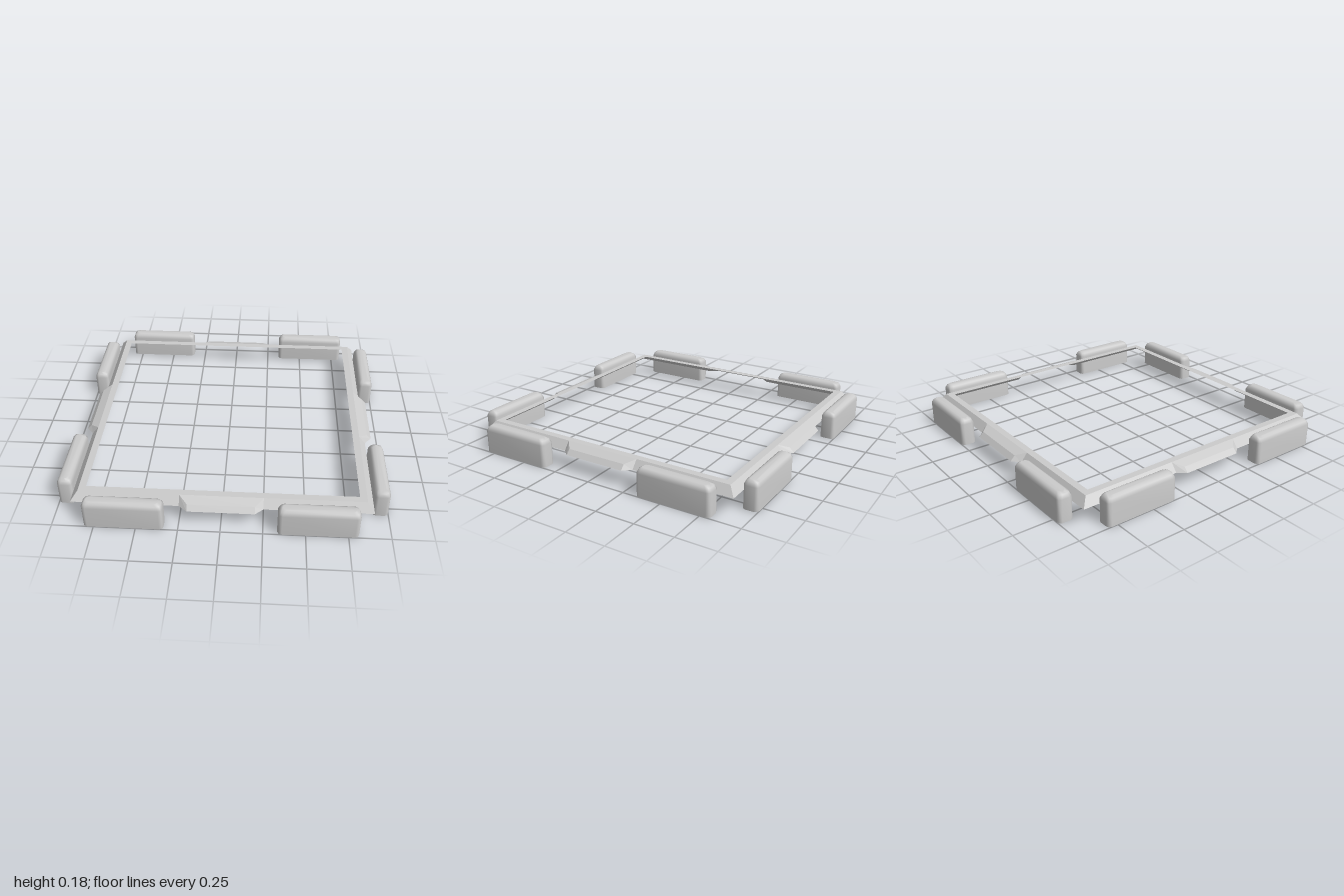
import * as THREE from 'three';

const grey = new THREE.MeshStandardMaterial({ color: 0xcccccc });
const sheet = new THREE.MeshStandardMaterial({ color: 0xcccccc, side: THREE.DoubleSide, flatShading: true });

function makeGeometry(positions, index) {
  const g = new THREE.BufferGeometry();
  g.setAttribute('position', new THREE.Float32BufferAttribute(positions, 3));
  g.setIndex(index);
  g.computeVertexNormals();
  return g;
}

// One side of the frame facing +z: a bent strip with mitred ends and a tab in the middle.
function railGeometry() {
  // cross-sections as [distance outwards, height]
  const plain = [[0.815, 0.152], [0.858, 0.152], [0.858, 0.152], [0.9, 0.1]];
  const tab = [[0.815, 0.152], [0.858, 0.152], [0.915, 0.13], [0.943, 0.1]];
  const stations = [
    [null, plain, -1], [-0.25, plain], [-0.2, tab],
    [0.2, tab], [0.25, plain], [null, plain, 1],
  ];
  const positions = [], index = [];
  for (const [t, profile, end] of stations)
    for (const [out, y] of profile) positions.push(t === null ? end * out : t, y, out);
  for (let s = 0; s < stations.length - 1; s++)
    for (let p = 0; p < 3; p++) {
      const a = s * 4 + p, b = a + 4;
      index.push(a, a + 1, b + 1, a, b + 1, b);
    }
  return makeGeometry(positions, index);
}

// Upright pad: rounded footprint swept up and drawn in towards the top.
function padGeometry(halfLength, halfWidth, corner) {
  const footprint = (inset) => {
    const pts = [];
    for (const [sx, sz, start] of [[1, 1, 0], [-1, 1, 1], [-1, -1, 2], [1, -1, 3]])
      for (let k = 0; k <= 2; k++) {
        const a = (start + k / 2) * Math.PI / 2, r = corner;
        pts.push([
          sx * (halfLength - inset - r) + r * Math.cos(a),
          sz * (halfWidth - inset - r * 0.9) + r * 0.9 * Math.sin(a),
        ]);
      }
    return pts;
  };
  const rings = [[0, 0], [0.145, 0], [0.168, 0.01], [0.178, 0.025]]; // [height, inset]
  const positions = [], index = [], n = 12;
  for (const [y, inset] of rings)
    for (const [x, z] of footprint(inset)) positions.push(x, y, z);
  for (let r = 0; r < rings.length - 1; r++)
    for (let i = 0; i < n; i++) {
      const a = r * n + i, b = r * n + (i + 1) % n;
      index.push(a, a + n, b + n, a, b + n, b);
    }
  // top
  const top = (rings.length - 1) * n;
  for (let i = 1; i < n - 1; i++) index.push(top, top + i + 1, top + i);
  // flat underside with its own corners
  const base = rings.length * n;
  for (const [x, z] of footprint(0)) positions.push(x, 0, z);
  for (let i = 1; i < n - 1; i++) index.push(base, base + i, base + i + 1);
  return makeGeometry(positions, index);
}

export function createModel() {
  const model = new THREE.Group();
  model.name = 'squareFrame';
  const rail = railGeometry();
  const pad = padGeometry(0.238, 0.048, 0.025);

  ['front', 'left', 'back', 'right'].forEach((name, i) => {
    const side = new THREE.Group();
    side.name = `${name}Side`;
    side.rotation.y = i * Math.PI / 2;

    const railMesh = new THREE.Mesh(rail, sheet);
    railMesh.name = `${name}Rail`;
    side.add(railMesh);

    // a pad on either side of the tab
    for (const s of [-1, 1]) {
      const padMesh = new THREE.Mesh(pad, grey);
      padMesh.name = `${name}Pad${s < 0 ? 'A' : 'B'}`;
      padMesh.position.set(s * 0.573, 0, 0.952);
      side.add(padMesh);
    }
    model.add(side);
  });
  return model;
}
